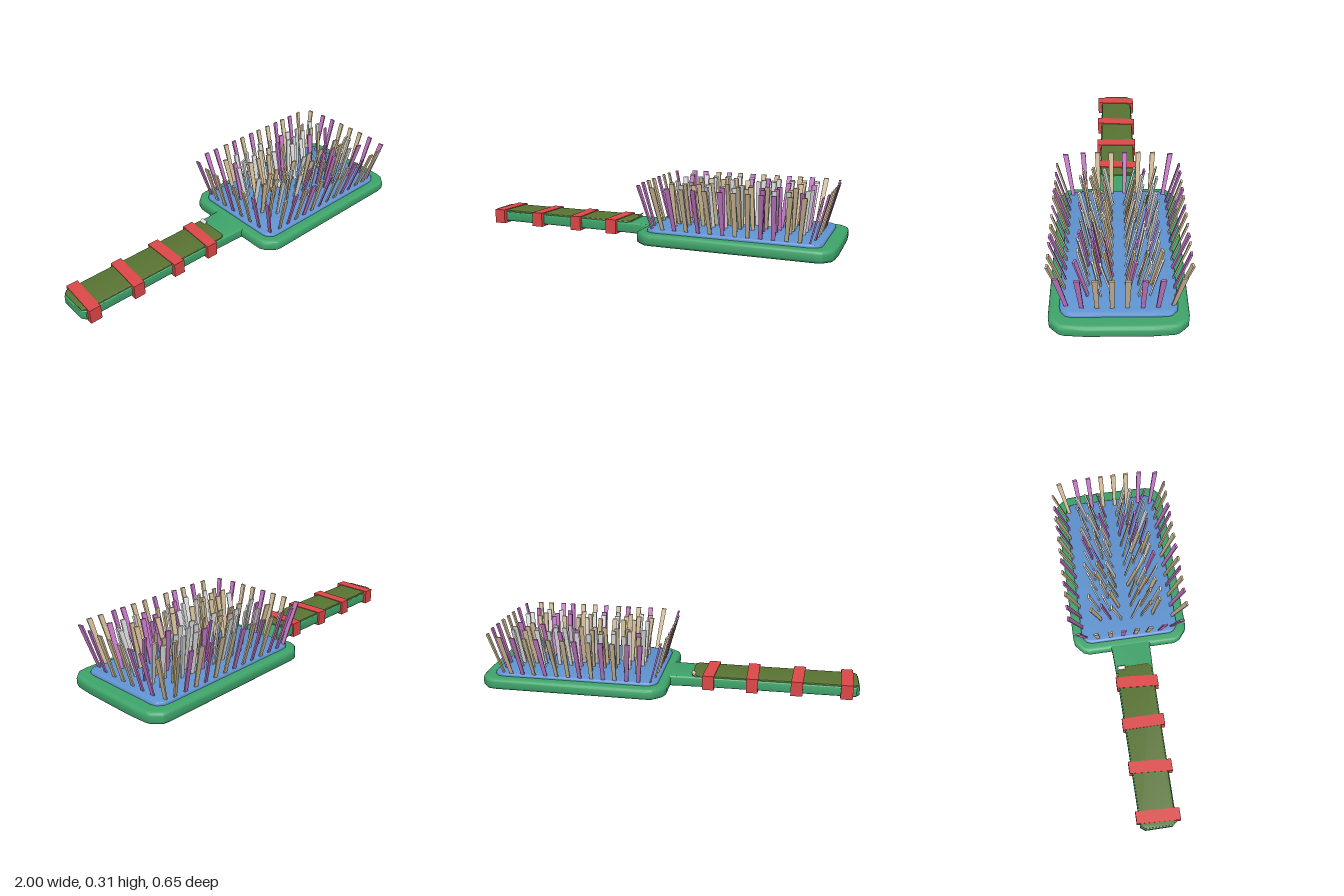
import * as THREE from 'three';
import { mergeGeometries, toCreasedNormals } from 'three/addons/utils/BufferGeometryUtils.js';

const material = (name, color) => {
  const m = new THREE.MeshStandardMaterial({ color });
  m.name = name;
  return m;
};

// Small seeded generator, returns 0..1
function seeded(seed) {
  return () => {
    seed = (seed * 16807) % 2147483647;
    return seed / 2147483647;
  };
}

// Flat slab standing between y0 and y1, outlined by [x, z] points, with bevelled rims
function slab(points, y0, y1, bevel, bevelHeight = bevel) {
  const shape = new THREE.Shape(points.map(([x, z]) => new THREE.Vector2(x, -z)));
  const geo = new THREE.ExtrudeGeometry(shape, {
    depth: y1 - y0 - 2 * bevelHeight, bevelEnabled: true, bevelSegments: 3,
    bevelSize: bevel, bevelThickness: bevelHeight, bevelOffset: -bevel,
  });
  geo.rotateX(-Math.PI / 2).translate(0, y0 + bevelHeight, 0);
  return toCreasedNormals(geo, 0.7);
}

// Mirrors a half outline (z > 0 side) across z = 0
const mirrored = half => [...half, ...half.slice().reverse().map(([x, z]) => [x, -z])];

export function createModel() {
  const group = new THREE.Group();
  const green = material('green body', 0x3fa56b);
  const blue = material('blue cushion', 0x6094d2);
  const olive = material('olive grip', 0x5a7533);
  const red = material('red band', 0xdf4848);
  const tan = material('tan bristle', 0xd4bf9b);
  const purple = material('purple bristle', 0xc87bc9);
  const grey = material('grey bristle', 0xe0e0e1);

  const add = (name, geo, mat, parent = group) => {
    const mesh = new THREE.Mesh(geo, mat);
    mesh.name = name;
    parent.add(mesh);
    return mesh;
  };

  // Paddle head
  add('head', slab(mirrored([
    [-0.008, 0.24], [0.005, 0.272], [0.055, 0.313], [0.085, 0.318], [0.91, 0.318],
    [0.945, 0.312], [0.985, 0.27], [0.993, 0.245], [1, 0.15],
  ]), 0.006, 0.067, 0.02, 0.016), green).position.z = 0.005;

  // Handle, running slightly into the head
  add('handle', slab(mirrored([
    [-0.998, 0.07], [-0.98, 0.094], [-0.2, 0.1], [-0.03, 0.106], [0.06, 0.115],
  ]), 0.01, 0.066, 0.008), green);

  // Cushion that carries the bristles
  add('cushion', slab(mirrored([
    [0.04, 0.22], [0.05, 0.245], [0.075, 0.264], [0.1, 0.268], [0.87, 0.268],
    [0.9, 0.262], [0.925, 0.24], [0.932, 0.215],
  ]), 0.05, 0.083, 0.012, 0.009), blue).position.z = 0.005;

  // Grip pad on top of the handle
  add('gripPad', slab(mirrored([
    [-0.992, 0.07], [-0.975, 0.09], [-0.14, 0.095], [-0.12, 0.08],
  ]), 0.055, 0.075, 0.004), olive);

  // Loose frayed corner at the inner end of the grip pad
  const lip = add('gripLip', new THREE.BoxGeometry(0.02, 0.006, 0.04), grey);
  lip.position.set(-0.127, 0.079, -0.07);
  lip.rotation.z = 0.6;

  // Bands wrapped around the handle, each a little askew
  const bands = new THREE.Group();
  bands.name = 'bands';
  group.add(bands);
  [[-0.937, -0.05], [-0.683, -0.07], [-0.443, 0], [-0.217, -0.07]].forEach(([x, skew]) => {
    const geo = new THREE.BoxGeometry(0.062, 0.079, 0.226);
    const p = geo.attributes.position;
    for (let i = 0; i < p.count; i++) p.setX(i, p.getX(i) + p.getZ(i) * skew);
    geo.computeVertexNormals();
    add('band', geo, red, bands).position.set(x, 0.0395, 0.004);
  });

  // Bristle: a flat strip that widens upward, from its root (x, z) to a tip moved by (dx, dz)
  const random = seeded(4711);
  const jitter = amount => (random() - 0.5) * 2 * amount;
  const strips = { t: [], p: [], g: [] };
  const bristle = (colour, x, z, dx, dz, yaw) => {
    const geo = new THREE.BoxGeometry(0.026, 0.236, 0.01).rotateY(yaw);
    const p = geo.attributes.position;
    for (let k = 0; k < p.count; k++) {
      const t = p.getY(k) > 0 ? 1 : 0, s = t ? 1 : 0.7;
      p.setXYZ(k, x + p.getX(k) * s + dx * t, 0.19 + p.getY(k), z + p.getZ(k) * s + dz * t);
    }
    geo.computeVertexNormals();
    strips[colour].push(geo);
  };

  // Front and back rows, splayed outward; letters give the colours from -x to +x
  [['tptptpttpptt', 1], ['pptptpttptpt', -1]].forEach(([colours, side]) => {
    [...colours].forEach((c, i) => {
      const u = i / 5.5 - 1;
      bristle(c, 0.483 + 0.345 * u, 0.25 * side, 0.025 * u + jitter(0.01), 0.068 * side, jitter(0.3));
    });
  });

  // End columns, facing sideways; letters give the colours from back to front
  [['pttpttpp', -1, 0.062, -0.065], ['tpptttpp', 1, 0.888, 0.06]].forEach(([colours, side, x, dx]) => {
    [...colours].forEach((c, j) => {
      const v = j / 3.5 - 1;
      bristle(c, x - side * 0.015 * v ** 6, 0.24 * v, dx, 0.012 * v + 0.025 * v ** 5, Math.PI / 2 + jitter(0.15));
    });
  });

  // Inner rows, leaning toward the front or the back, away from the middle
  for (const side of [-1, 1]) {
    for (const z of [0.03, 0.085, 0.142]) {
      for (let i = 0; i < 11; i++) {
        const u = i / 5 - 1, pick = random();
        bristle(pick < 0.45 ? 'g' : pick < 0.68 ? 'p' : 't',
          0.49 + 0.325 * u + jitter(0.006), z * side + jitter(0.004),
          0.02 * u + jitter(0.012), (0.045 + jitter(0.012)) * side, jitter(0.45));
      }
    }
  }
  add('tanBristles', mergeGeometries(strips.t), tan);
  add('purpleBristles', mergeGeometries(strips.p), purple);
  add('greyBristles', mergeGeometries(strips.g), grey);

  return group;
}
